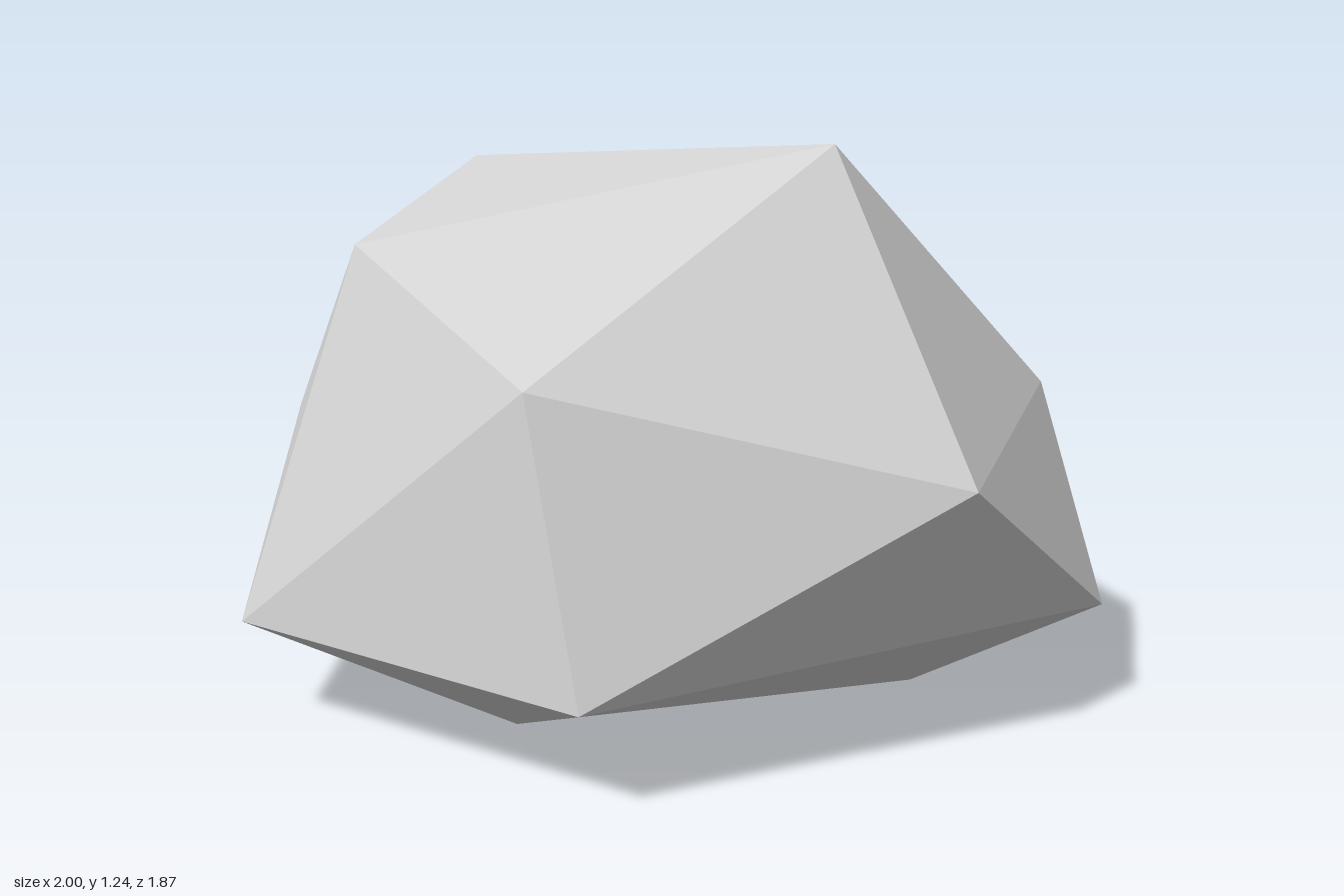
import * as THREE from 'three';
import { ConvexGeometry } from 'three/addons/geometries/ConvexGeometry.js';

// Turns the shared edge b-c of the facets abc and bcd into the edge a-d, which makes a hollow
function flipEdge(geometry, a, b, c, d) {
  const position = geometry.attributes.position;
  const corner = new THREE.Vector3();
  const find = (start, point) => [start, start + 1, start + 2].find(
    (i) => corner.fromBufferAttribute(position, i).distanceTo(point) < 0.001);
  for (let i = 0; i < position.count; i += 3) {
    const [atA, atB, atC, atD] = [a, b, c, d].map((point) => find(i, point));
    if (atB === undefined || atC === undefined) continue;
    if (atA !== undefined) position.setXYZ(atC, d.x, d.y, d.z);
    else if (atD !== undefined) position.setXYZ(atB, a.x, a.y, a.z);
  }
  geometry.computeVertexNormals();
}

export function createModel() {
  const group = new THREE.Group();
  group.name = 'rock';

  const stoneGrey = new THREE.MeshStandardMaterial({ color: 0xd2d2d2 });
  stoneGrey.name = 'stone grey';

  // Corners of the faceted boulder, ring by ring
  const v = (x, y, z) => new THREE.Vector3(x, y, z);
  const crown = [v(0.27, 1.235, 0.4), v(0.62, 1.02, -0.4), v(-0.33, 1.175, -0.51), v(-0.72, 1.02, 0.1)];
  const shoulder = [
    v(-0.5, 0.8, 0.76), v(0.365, 0.585, 0.93), v(0.82, 0.68, 0.34),
    v(0.48, 0.72, -0.81), v(-0.22, 0.79, -0.835), v(-0.8, 0.58, -0.41),
  ];
  const girdle = [
    v(-0.44, 0.215, 0.93), v(0.82, 0.235, 0.65), v(1, 0.28, -0.29),
    v(0.41, 0.215, -0.935), v(-0.46, 0.195, -0.915), v(-1, 0.23, 0.21),
  ];
  const base = [v(-0.44, 0, 0.385), v(0.48, 0.01, 0.4), v(0.4, 0.06, -0.7), v(-0.72, 0.07, -0.38)];

  // The hull of the corners gives flat facets with hard edges
  const geometry = new ConvexGeometry([...crown, ...shoulder, ...girdle, ...base]);

  // Shallow hollow in the back
  flipEdge(geometry, girdle[4], shoulder[4], girdle[3], shoulder[3]);

  const boulder = new THREE.Mesh(geometry, stoneGrey);
  boulder.name = 'boulder';
  group.add(boulder);

  return group;
}
